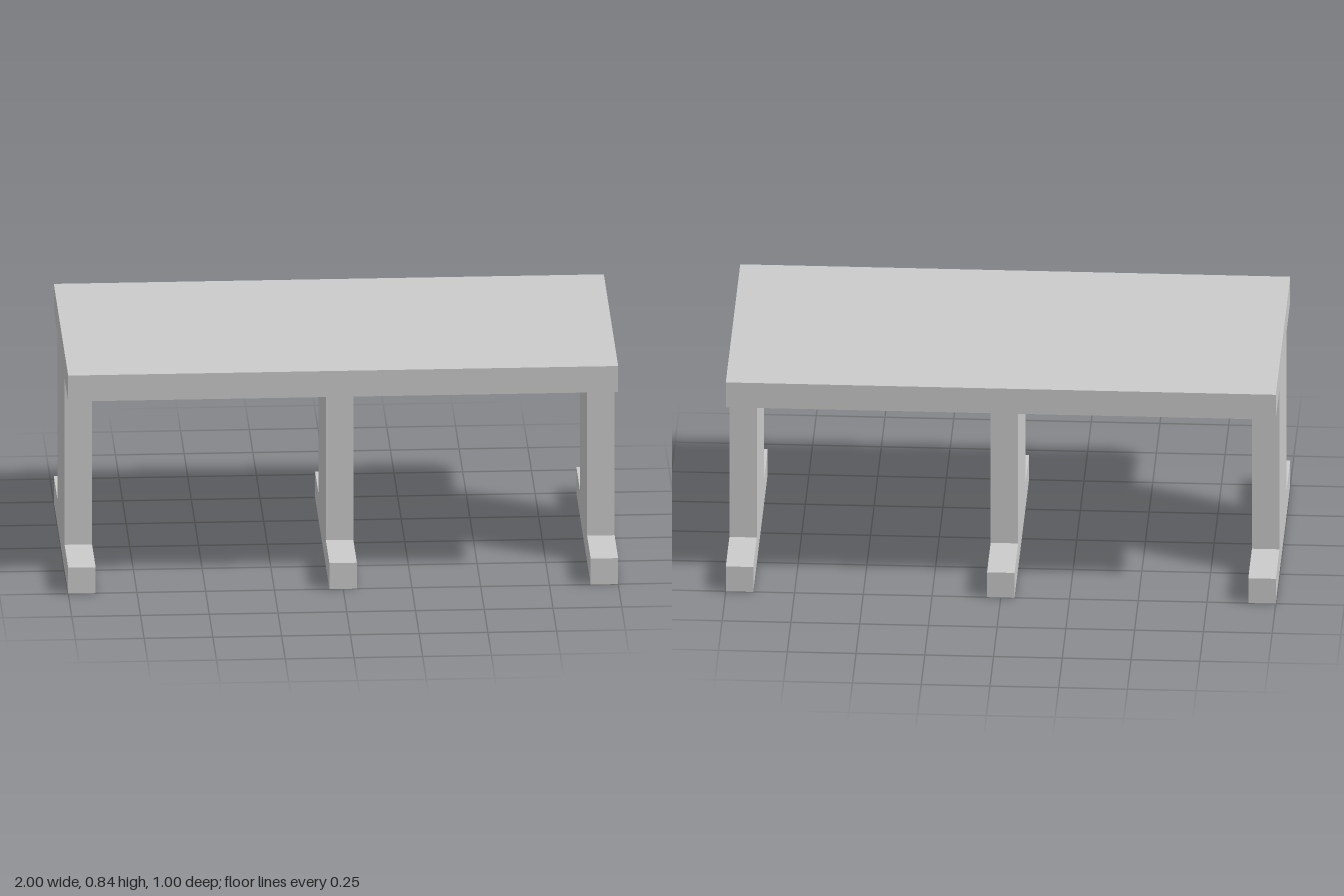
import * as THREE from 'three';

const LENGTH = 2, DEPTH = 1, HEIGHT = 0.84, THICK = 0.1;

export function createModel() {
  const table = new THREE.Group();
  table.name = 'table';
  const material = new THREE.MeshStandardMaterial({ color: 0xcccccc, flatShading: true });

  // Flat slab top
  const top = new THREE.Mesh(new THREE.BoxGeometry(LENGTH, THICK, DEPTH), material);
  top.name = 'tableTop';
  top.position.y = HEIGHT - THICK / 2;
  table.add(top);

  // Upright panel on a long foot: an inverted T, extruded along x
  const foot = DEPTH / 2, panel = 0.25, legTop = HEIGHT - THICK;
  const profile = new THREE.Shape([
    [-foot, 0], [foot, 0], [foot, THICK], [panel, THICK],
    [panel, legTop], [-panel, legTop], [-panel, THICK], [-foot, THICK],
  ].map(([z, y]) => new THREE.Vector2(z, y)));
  const legGeometry = new THREE.ExtrudeGeometry(profile, { depth: THICK, bevelEnabled: false })
    .translate(0, 0, -THICK / 2)
    .rotateY(Math.PI / 2);

  // One leg flush with each end and one in the middle
  const end = (LENGTH - THICK) / 2;
  for (const [name, x] of [['rightLeg', -end], ['middleLeg', 0], ['leftLeg', end]]) {
    const leg = new THREE.Mesh(legGeometry, material);
    leg.name = name;
    leg.position.x = x;
    table.add(leg);
  }
  return table;
}
